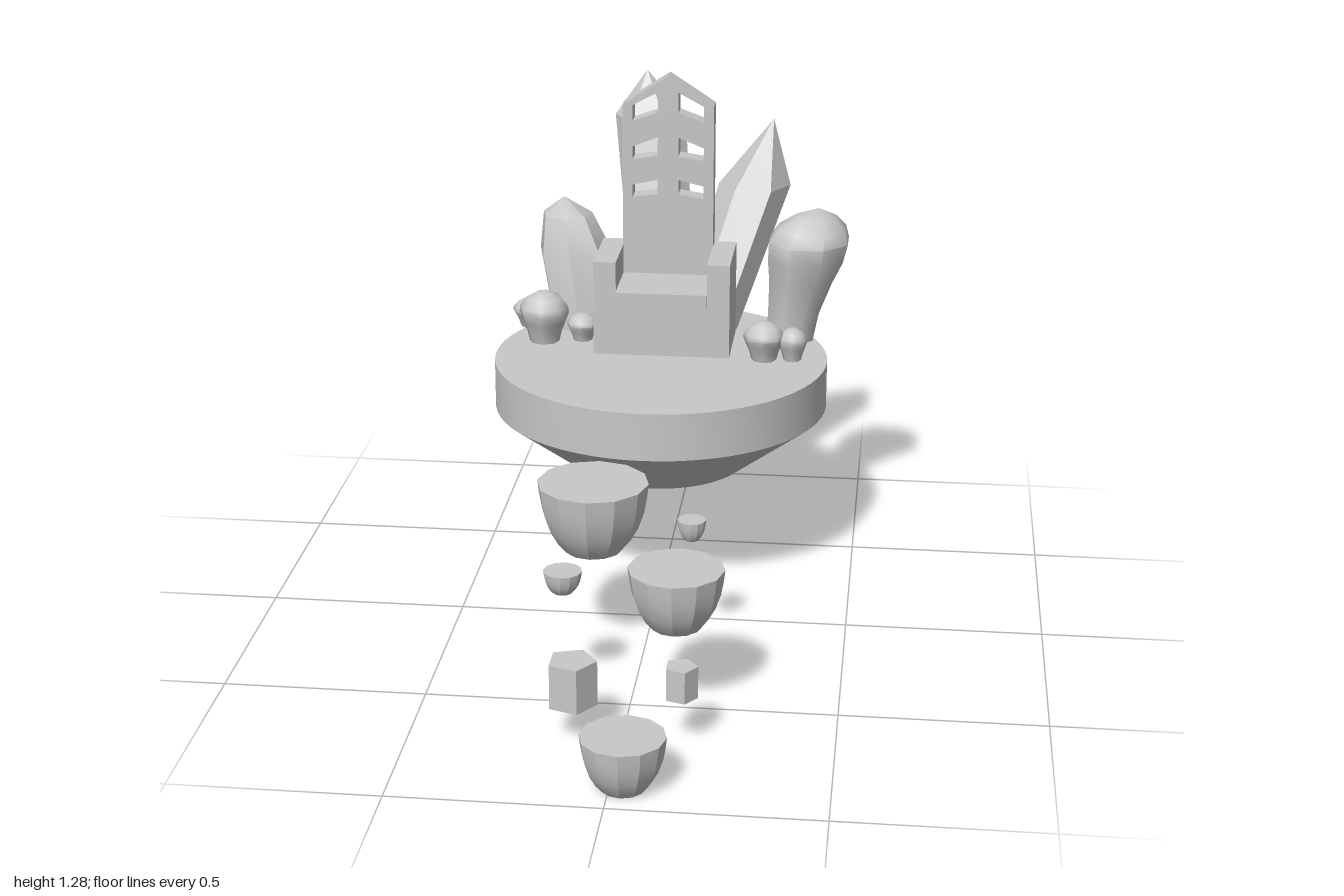
import * as THREE from 'three';
import { toCreasedNormals } from 'three/addons/utils/BufferGeometryUtils.js';

const stone = new THREE.MeshStandardMaterial({ color: 0xc8c8c8 });
stone.name = 'grey stone';

const GROUND = 0.557; // top of the island
const CX = -0.027; // centre line of the throne and island

export function createModel() {
  const model = new THREE.Group();
  const throne = new THREE.Group();
  throne.name = 'throne';
  model.add(throne);

  function add(name, geometry, x, y, z, parent = model) {
    const mesh = new THREE.Mesh(geometry, stone);
    mesh.name = name;
    mesh.position.set(x, y, z);
    parent.add(mesh);
    return mesh;
  }

  // Turned body from [radius, height, leanX, leanZ] rings, listed bottom to top
  function turned(rings, sides, crease, start = 0) {
    const points = rings.map(([r, y]) => new THREE.Vector2(r, y));
    const geo = new THREE.LatheGeometry(points, sides, start);
    const pos = geo.attributes.position;
    for (let i = 0; i < pos.count; i++) {
      const [, , dx = 0, dz = 0] = rings[i % rings.length];
      pos.setX(i, pos.getX(i) + dx);
      pos.setZ(i, pos.getZ(i) + dz);
    }
    return toCreasedNormals(geo, crease);
  }

  // Floating island: thick disc with a tapered underside
  const island = [[0, 0.242], [0.23, 0.266], [0.446, 0.43], [0.446, GROUND], [0, GROUND]];
  add('island', turned(island, 64, 0.4), CX, 0, -0.449);

  // Throne: base, cushion, arms
  function block(name, x0, x1, y0, y1, z0, z1) {
    const geo = new THREE.BoxGeometry(x1 - x0, y1 - y0, z1 - z0);
    add(name, geo, CX + (x0 + x1) / 2, (y0 + y1) / 2, (z0 + z1) / 2, throne);
  }
  block('seatBase', -0.122, 0.122, GROUND, 0.7, -0.674, -0.45);
  block('seatCushion', -0.123, 0.123, 0.7, 0.735, -0.63, -0.437);
  block('leftArm', 0.122, 0.183, GROUND, 0.815, -0.676, -0.45);
  block('rightArm', -0.183, -0.122, GROUND, 0.815, -0.676, -0.45);

  // Gabled backrest with two columns of slanted openings
  const back = new THREE.Shape([
    [-0.123, 0.7], [0.123, 0.7], [0.123, 1.205], [0, 1.285], [-0.123, 1.205],
  ].map(([x, y]) => new THREE.Vector2(x, y)));
  const openings = [ // inner bottom, inner top, outer bottom, outer top
    [1.185, 1.24, 1.16, 1.203],
    [1.066, 1.117, 1.055, 1.09],
    [0.96, 1.0, 0.95, 0.984],
  ];
  for (const [ib, it, ob, ot] of openings) {
    for (const side of [-1, 1]) {
      const corners = [[0.028, ib], [0.096, ob], [0.096, ot], [0.028, it]];
      back.holes.push(new THREE.Path(corners.map(([x, y]) => new THREE.Vector2(x * side, y))));
    }
  }
  const backGeo = new THREE.ExtrudeGeometry(back, { depth: 0.054, bevelEnabled: false });
  add('backrest', backGeo, CX, 0, -0.674, throne);

  // Leaning crystals behind the throne
  add('tallCrystal', turned([
    [0, 0], [0.088, 0], [0.098, 0.553, -0.065, -0.2], [0, 0.678, -0.075, -0.21],
  ], 6, 0.3, Math.PI / 6), -0.04, GROUND, -0.7);
  add('slantedCrystal', turned([
    [0, 0], [0.088, 0], [0.1, 0.368, 0.12, -0.18], [0, 0.553, 0.17, -0.19],
  ], 6, 0.3, Math.PI / 6), 0.07, GROUND, -0.7);
  add('stubbyCrystal', turned([
    [0, 0], [0.09, 0], [0.102, 0.2, -0.03, -0.04],
    [0.07, 0.3, -0.053, -0.06], [0, 0.345, -0.063, -0.07],
  ], 7, 0.6), -0.27, GROUND, -0.705);

  // Large rounded crystal beside the throne
  const R = 0.115;
  add('bulbCrystal', turned([
    [0, 0], [0.6 * R, 0], [0.65 * R, 0.08, 0.01], [0.8 * R, 0.17, 0.028],
    [0.95 * R, 0.23, 0.04], [R, 0.28, 0.047], [0.85 * R, 0.315, 0.055],
    [0.5 * R, 0.347, 0.065], [0, 0.37, 0.072],
  ], 8, 0.9, Math.PI / 8), 0.308, GROUND, -0.645);

  // Small bulbs around the throne: x, z, radius, height
  const bulbs = [
    [-0.358, -0.545, 0.068, 0.143], [-0.412, -0.67, 0.052, 0.08],
    [-0.255, -0.565, 0.043, 0.076], [0.249, -0.455, 0.056, 0.107],
    [0.325, -0.46, 0.04, 0.09],
  ];
  const bulbProfile = [[0, 0], [0.6, 0], [0.7, 0.2], [0.86, 0.4], [1, 0.58],
    [0.97, 0.7], [0.72, 0.86], [0.35, 0.96], [0, 1]];
  for (const [x, z, r, h] of bulbs) {
    const rings = bulbProfile.map(([a, b]) => [a * r, b * h]);
    add('smallBulb', turned(rings, 8, 0.9), x, GROUND, z);
  }

  // Floating bowl-shaped stepping stones: x, bottom, z, radius, height
  const steps = [
    [-0.127, 0.272, 0.197, 0.139, 0.178], [0.111, 0.218, 0.505, 0.116, 0.149],
    [0.031, 0, 0.9, 0.1, 0.13],
    [0.115, 0.292, 0.16, 0.036, 0.053], [-0.167, 0.27, 0.455, 0.047, 0.055],
  ];
  const bowl = [[0, 0], [0.52, 0], [0.67, 0.14], [0.81, 0.33], [0.92, 0.58],
    [0.97, 0.8], [1, 1], [0, 1]];
  for (const [x, y, z, r, h] of steps) {
    const rings = bowl.map(([a, b]) => [a * r, b * h]);
    add('steppingStone', turned(rings, 12, 0.4), x, y, z);
  }

  // Floating five-sided shards: x, bottom, z, radius, height
  for (const [x, y, z, r, h] of [[-0.115, 0.088, 0.677, 0.06, 0.112], [0.14, 0.118, 0.675, 0.04, 0.08]]) {
    const geo = turned([[0, 0], [r, 0], [r, h], [0, h]], 5, 0.3, Math.PI / 2);
    add('shard', geo, x, y, z);
  }

  return model;
}
